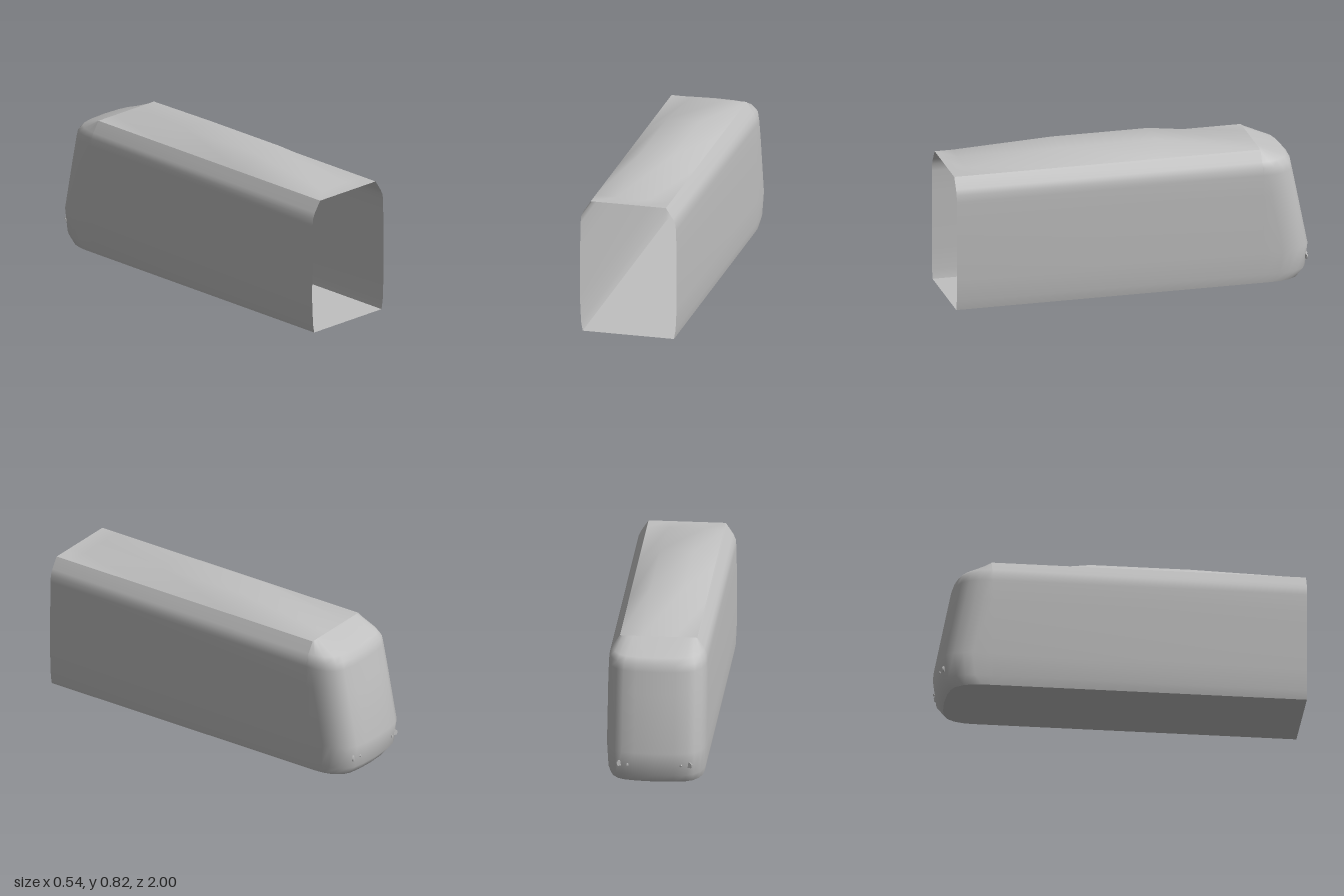
import * as THREE from 'three';
import { mergeVertices } from 'three/addons/utils/BufferGeometryUtils.js';

const JOINT = -0.71; // z where the straight body meets the rounded end
const FRONT = 1;

// Wall levels: height, half width, z of the rounded end on the centre line
const levels = [
  [0, 0.255, -0.945], [0.05, 0.264, -0.985], [0.18, 0.27, -1], [0.5, 0.269, -0.937],
  [0.62, 0.267, -0.913], [0.66, 0.263, -0.905], [0.69, 0.249, -0.88], [0.75, 0.21, JOINT],
];

// Plan of the rounded end: fraction of the half width, setback from the tip
const plan = [[0, 0], [0.4, 0.006], [0.65, 0.018], [0.8, 0.038], [0.92, 0.08], [0.98, 0.13], [1, 0.18], [1, 1]];

// One half of the end's outline at a level, from the tip to the joint
function halfOutline([y, w, tip]) {
  return plan.map(([f, d]) => [f * w, y, Math.min(tip + d, JOINT)]);
}

// Smooth surface through rows of points
function surface(rows) {
  const n = rows[0].length;
  const index = [];
  for (let i = 0; i < rows.length - 1; i++) {
    for (let j = 0; j < n - 1; j++) {
      const a = i * n + j, d = a + n;
      index.push(a, a + 1, d + 1, a, d + 1, d);
    }
  }
  const geometry = new THREE.BufferGeometry();
  geometry.setAttribute('position', new THREE.Float32BufferAttribute(rows.flat(2), 3));
  geometry.setIndex(index);
  const merged = mergeVertices(geometry, 1e-5);
  merged.computeVertexNormals();
  return merged;
}

export function createModel() {
  const group = new THREE.Group();
  const shell = new THREE.MeshStandardMaterial({ color: 0xc0c0c0, side: THREE.DoubleSide });
  shell.name = 'light grey';

  function add(name, geometry) {
    const mesh = new THREE.Mesh(geometry, shell);
    mesh.name = name;
    group.add(mesh);
    return mesh;
  }

  // Long side walls with curved shoulders
  for (const side of [1, -1]) {
    const rows = [JOINT, FRONT].map((z) => levels.map(([y, w]) => [side * w, y, z]));
    add(side > 0 ? 'leftWall' : 'rightWall', surface(side > 0 ? rows : rows.reverse()));
  }

  // Roof, raised along the middle
  const roofRows = [[FRONT, 0], [0.9, 0], [0.38, 0.07], [-0.16, 0.07], [JOINT, 0]];
  add('roof', surface(roofRows.map(([z, h]) => [
    [-0.21, 0.75, z], [-0.09, 0.75 + h, z], [0.09, 0.75 + h, z], [0.21, 0.75, z],
  ])));

  // Rounded, leaning end
  add('roundedEnd', surface(levels.map((level) => {
    const half = halfOutline(level);
    const mirrored = half.slice(1).map(([x, y, z]) => [-x, y, z]);
    return [...half.reverse(), ...mirrored];
  })));

  // Flat floor following the outline of the walls
  const edge = [...halfOutline(levels[0]), [levels[0][1], 0, FRONT]];
  add('floor', surface(edge.map(([x, y, z]) => [[-x, y, z], [x, y, z]])));

  // Small flush studs low on the rounded end
  for (const side of [1, -1]) {
    for (const [x, z, radius] of [[0.19, -0.968, 0.018], [0.145, -0.983, 0.007]]) {
      const stud = add('stud', new THREE.CylinderGeometry(radius, radius, 0.008, 5));
      stud.position.set(side * x, 0.11, z);
      stud.rotation.set(-Math.PI / 2, 0, side * 0.4);
    }
  }

  return group;
}
